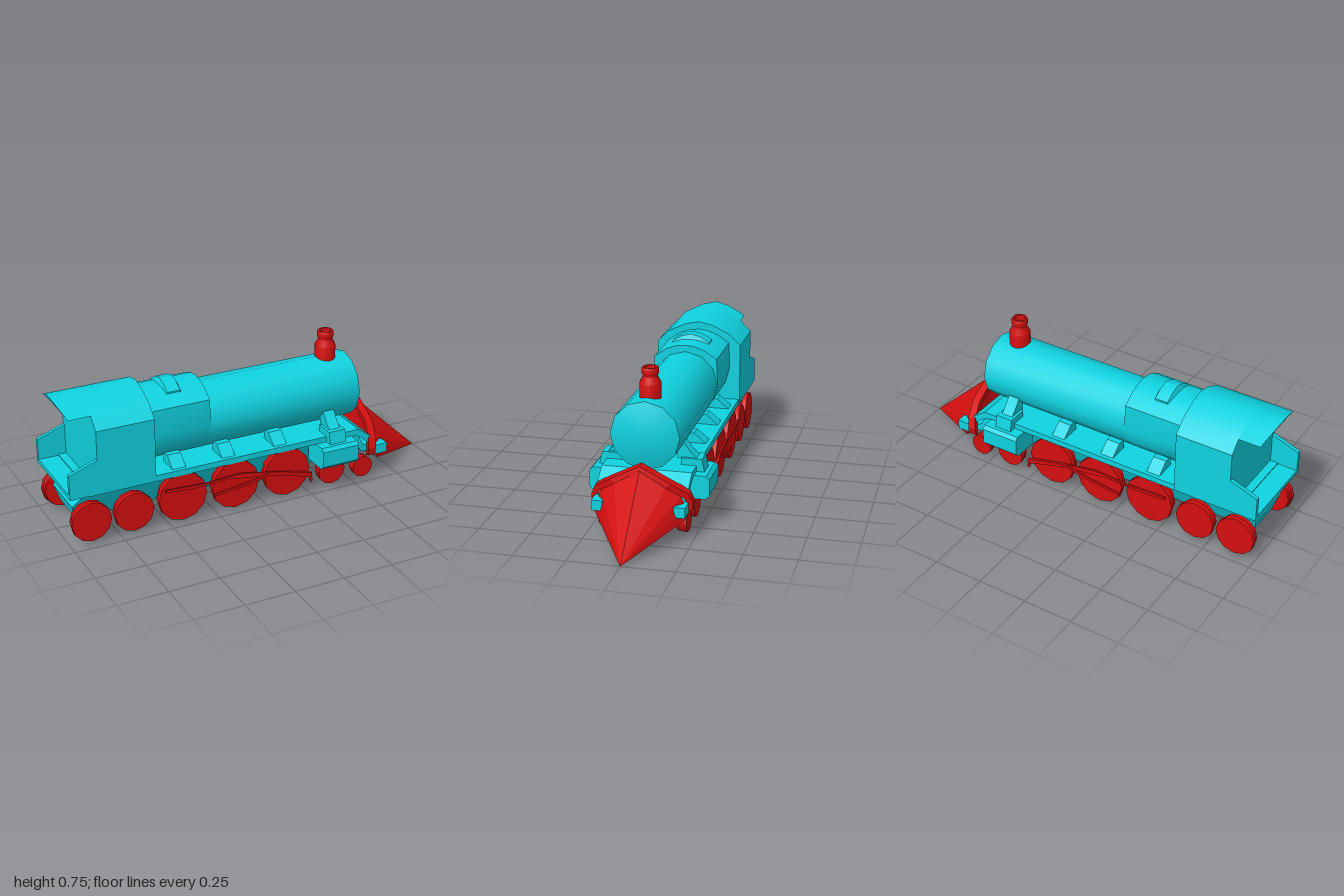
import * as THREE from 'three';
import { toCreasedNormals } from 'three/addons/utils/BufferGeometryUtils.js';

const teal = new THREE.MeshStandardMaterial({ color: 0x0fd2e0, side: THREE.DoubleSide });
const red = new THREE.MeshStandardMaterial({ color: 0xd50f0f, side: THREE.DoubleSide });

export function createModel() {
  const model = new THREE.Group();
  model.name = 'locomotive';

  const add = (name, geometry, material = teal, parent = model) => {
    const mesh = new THREE.Mesh(geometry, material);
    mesh.name = name;
    parent.add(mesh);
  };
  const extrude = (pts, depth) => new THREE.ExtrudeGeometry(
    new THREE.Shape(pts.map(p => new THREE.Vector2(...p))), { depth, bevelEnabled: false });
  // Section given as [z, y], swept along x
  const alongX = (pts, x0, x1) => toCreasedNormals(
    extrude(pts.map(([z, y]) => [-z, y]), x1 - x0).rotateY(Math.PI / 2).translate(x0, 0, 0), 0.6);
  // Side outline given as [x, y], swept along z
  const alongZ = (pts, z0, z1) => toCreasedNormals(extrude(pts, z1 - z0).translate(0, 0, z0), 0.3);
  const box = (x0, x1, y0, y1, z0, z1) => new THREE.BoxGeometry(x1 - x0, y1 - y0, z1 - z0)
    .translate((x0 + x1) / 2, (y0 + y1) / 2, (z0 + z1) / 2);
  // Completes a list of [z, y] points with its mirror image
  const mirrored = pts => [...pts, ...pts.filter(p => p[0] > 0).reverse().map(([z, y]) => [-z, y])];
  const lathe = (pts, n) => toCreasedNormals(
    new THREE.LatheGeometry(pts.map(p => new THREE.Vector2(...p)), n), 0.6);
  // Moves every vertex by a rule returning [x, y, z]
  const reshape = (geometry, rule, crease) => {
    const p = geometry.attributes.position;
    for (let i = 0; i < p.count; i++) p.setXYZ(i, ...rule(p.getX(i), p.getY(i), p.getZ(i)));
    return toCreasedNormals(geometry, crease);
  };

  // Boiler with bevelled nose
  add('boiler', toCreasedNormals(lathe([[0, -0.6], [0.165, -0.6], [0.165, 0.56], [0.08, 0.59], [0, 0.59]], 12)
    .rotateZ(-Math.PI / 2).translate(0, 0.457, 0), 0.55));

  // Raised firebox, following the boiler on its lower half
  const belly = [0, 30, 60, 90].map(d => d * Math.PI / 180).map(a => [0.166 * Math.sin(a), 0.457 - 0.166 * Math.cos(a)]);
  add('firebox', alongX(mirrored([...belly, [0.16, 0.59], [0.10, 0.63], [0.05, 0.649], [0, 0.655]]), -0.58, -0.26));

  // Low dome: a tapered block bent over the firebox
  add('dome', reshape(new THREE.BoxGeometry(0.1, 1, 0.19, 1, 1, 4), (x, y, z) => {
    const a = Math.abs(z), topY = a > 0.09 ? 0.64 : a > 0.04 ? 0.668 : 0.68;
    return y > 0 ? [x * 0.66 - 0.416, topY, z] : [x - 0.416, topY - 0.035, z];
  }, 0.35));

  // Cab with overhanging roof raked at the back, and open rear platform
  const roof = [[0.165, 0.635], [0.07, 0.68], [0, 0.695]];
  add('cab', alongX(mirrored([[0.22, 0.26], [0.22, 0.58], ...roof]), -0.86, -0.57));
  add('roofOverhang', reshape(alongX([...mirrored(roof), [-0.07, 0.655], [0.07, 0.655]], -1, -0.86),
    (x, y, z) => [x < -0.95 ? -1 + (0.695 - y) * 0.5 : x, y, z], 0.5));
  add('rearFloor', box(-1, -0.86, 0.26, 0.28, -0.21, 0.21));

  // Running board, curving down to the front beam
  add('runningBoard', box(-0.9, 0.5, 0.255, 0.285, -0.215, 0.215));
  add('frontApron', alongZ([[0.48, 0.285], [0.53, 0.285], [0.6, 0.235], [0.61, 0.2], [0.585, 0.2],
    [0.56, 0.225], [0.52, 0.25], [0.48, 0.255]], -0.215, 0.215));
  add('frontBeam', alongZ([[0.5, 0.26], [0.53, 0.19], [0.56, 0.15], [0.63, 0.14], [0.63, 0.175],
    [0.57, 0.185], [0.55, 0.22], [0.54, 0.26]], -0.2, 0.2));

  // Keel-like frame, narrower towards the bottom
  add('frame', reshape(alongZ([[-0.85, 0.08], [0.43, 0.08], [0.5, 0.15], [0.5, 0.26], [-0.87, 0.26], [-0.96, 0.17], [-0.94, 0.1]],
    -0.15, 0.15), (x, y, z) => [x, y, Math.sign(z) * Math.min(0.15, 0.075 + (y - 0.08) * 0.6)], 0.3));

  // Chimney with hollow top
  add('chimney', lathe([[0.052, 0.58], [0.052, 0.68], [0.036, 0.708], [0.035, 0.715], [0.041, 0.727],
    [0.041, 0.748], [0.037, 0.755], [0.027, 0.755], [0.024, 0.7], [0, 0.7]], 14).translate(0.45, 0, 0), red);

  // Parts repeated on both sides
  const wheels = [[-0.895, 0.117, 0.1], [-0.68, 0.117, 0.1], [-0.43, 0.138, 0.126], [-0.15, 0.138, 0.126],
    [0.13, 0.138, 0.126], [0.385, 0.088, 0.074], [0.565, 0.066, 0.056]];
  for (const s of [1, -1]) {
    const side = new THREE.Group();
    side.name = s > 0 ? 'frontSide' : 'backSide';
    side.scale.z = s;
    model.add(side);

    for (const [x, y, r] of wheels) {
      add('wheel', lathe([[0, 0.162], [r * 0.94, 0.162], [r * 0.94, 0.18], [r, 0.186], [r, 0.21], [0, 0.21]], 12)
        .rotateX(Math.PI / 2).translate(x, y, 0), red, side);
    }

    // Connecting rods
    add('mainRod', alongZ([[-0.53, 0.193], [-0.4, 0.182], [-0.2, 0.188], [0.05, 0.15], [0.24, 0.1], [0.25, 0.066],
      [0.262, 0.068], [0.255, 0.12], [0.06, 0.168], [-0.14, 0.204], [-0.3, 0.195], [-0.53, 0.205]], 0.227, 0.236), red, side);
    add('couplingRod', alongZ([[-0.28, 0.115], [-0.1, 0.135], [0.03, 0.16], [0.255, 0.095], [0.255, 0.12], [0.03, 0.175],
      [-0.1, 0.15], [-0.28, 0.128]], 0.234, 0.241), red, side);

    // Steam cylinder and stepped pipe
    add('steamCylinder', alongX([[0.14, 0.142], [0.27, 0.142], [0.288, 0.16], [0.288, 0.24], [0.272, 0.257], [0.14, 0.257]],
      0.29, 0.49), teal, side);
    add('steamPipeBase', alongX([[0.14, 0.25], [0.255, 0.25], [0.24, 0.318], [0.14, 0.318]], 0.347, 0.437), teal, side);
    add('steamPipe', alongX([[0.12, 0.31], [0.222, 0.31], [0.185, 0.345], [0.15, 0.39], [0.12, 0.39]], 0.362, 0.422), teal, side);

    // Wedge brackets along the boiler
    for (const x of [-0.44, -0.18, 0.1]) {
      add('boilerBracket', alongX([[0.09, 0.28], [0.2, 0.28], [0.135, 0.335], [0.09, 0.335]], x - 0.035, x + 0.035), teal, side);
    }

    // Rear platform wall
    add('rearWall', alongZ([[-1, 0.26], [-0.85, 0.26], [-0.85, 0.435], [-0.86, 0.435], [-1, 0.385]], 0.2, 0.22), teal, side);

    // Tapered buffer
    add('buffer', reshape(new THREE.BoxGeometry(0.085, 0.05, 0.055).translate(0.655, 0.151, 0.193),
      (x, y, z) => [x, y, z < 0.193 && y < 0.15 ? z + 0.008 : z], 0.3), teal, side);
  }

  // Plough: a faceted cone from rim to tip, closed at the back
  const half = [[0.66, 0.325, 0], [0.65, 0.255, 0.125], [0.635, 0.21, 0.19], [0.64, 0.155, 0.21], [0.645, 0.105, 0.22]];
  const rim = [...half, ...half.slice(1).reverse().map(([x, y, z]) => [x, y, -z])];
  const tip = [1, 0.003, 0], back = [0.66, 0.17, 0];
  const fan = [];
  rim.forEach((a, i) => {
    const b = rim[(i + 1) % rim.length];
    fan.push(...a, ...b, ...tip, ...b, ...a, ...back);
  });
  const plough = new THREE.BufferGeometry();
  plough.setAttribute('position', new THREE.Float32BufferAttribute(fan, 3));
  // the rim runs clockwise seen from the tip, so turn the faces outwards
  plough.setIndex(rim.flatMap((_, i) => [0, 2, 1, 3, 5, 4].map(k => i * 6 + k)));
  add('plough', toCreasedNormals(plough, 0.1), red);

  // Lip: a four-sided section carried along the upper rim
  const lipHalf = [[0.632, 0.338, 0], [0.627, 0.265, 0.13], [0.6, 0.213, 0.21], [0.59, 0.172, 0.23], [0.59, 0.135, 0.226]];
  const lipPath = [...lipHalf.slice(1).reverse().map(([x, y, z]) => [x, y, -z]), ...lipHalf];
  const lipPos = [], lipIdx = [];
  lipPath.forEach(([x, y, z], i) => {
    const k = Math.sign(z) * 0.011, h = Math.abs(z) > 0.22 ? 0.004 : 0.012;
    lipPos.push(x - 0.012, y + h, z + k, x + 0.03, y + h * 0.6, z + k, x + 0.035, y - h, z - k, x - 0.01, y - h, z - k);
    for (let j = 0; i && j < 4; j++) {
      const a = i * 4 + j, b = i * 4 + (j + 1) % 4;
      lipIdx.push(a - 4, a, b, a - 4, b, b - 4);
    }
  });
  const end = lipPos.length / 3 - 4;
  lipIdx.push(0, 1, 2, 0, 2, 3, end, end + 2, end + 1, end, end + 3, end + 2);
  const lip = new THREE.BufferGeometry();
  lip.setAttribute('position', new THREE.Float32BufferAttribute(lipPos, 3));
  lip.setIndex(lipIdx);
  add('ploughLip', toCreasedNormals(lip, 0.2), red);

  return model;
}
